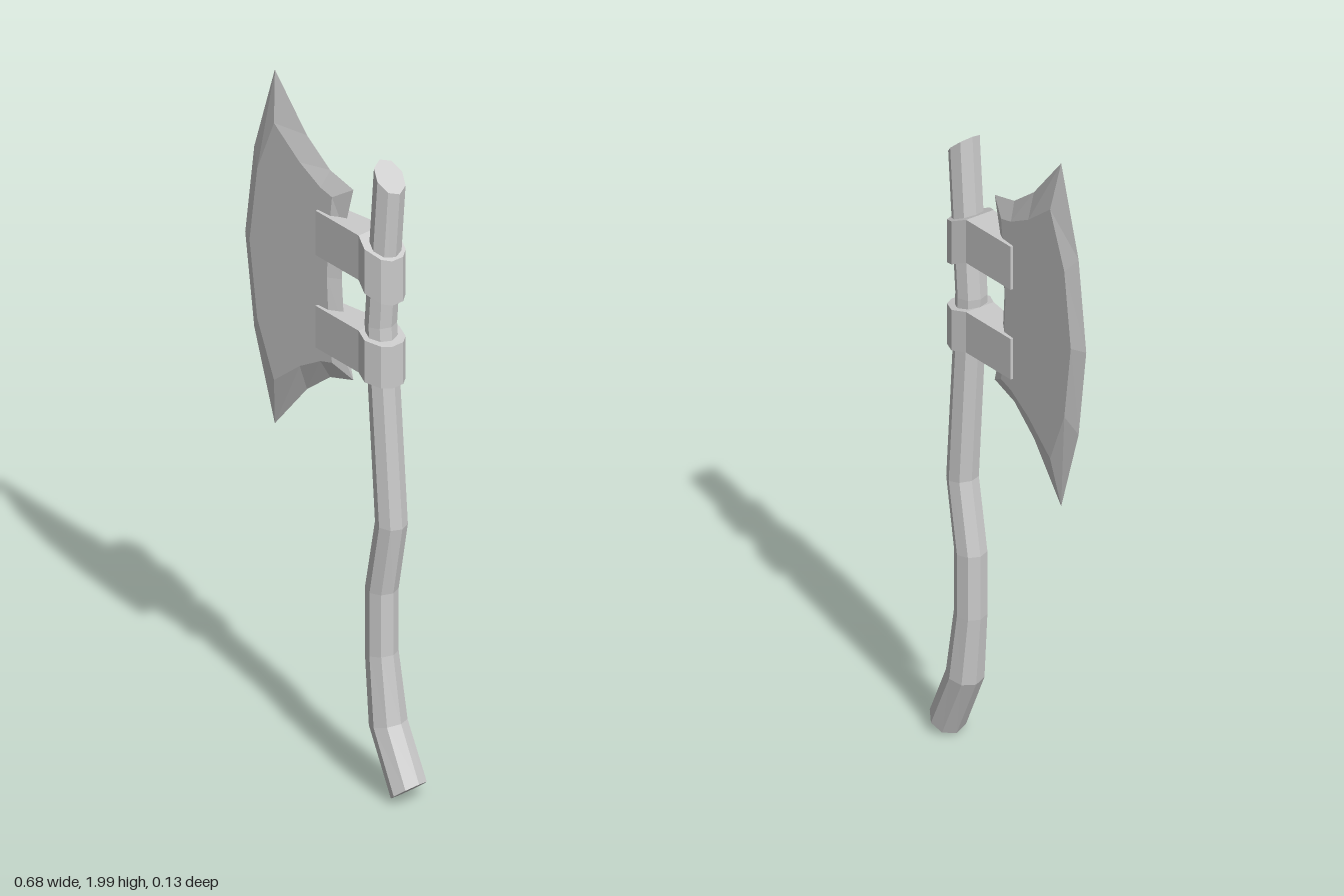
import * as THREE from 'three';

const material = new THREE.MeshStandardMaterial({ color: 0xcccccc, flatShading: true });

// Closed solid through equal-sized rings of [x, y, z]; caps are triangulated in the plane of the two given axes
function loft(name, rings, axes) {
  const n = rings[0].length;
  const tris = [];
  for (let r = 0; r < rings.length - 1; r++) {
    for (let i = 0; i < n; i++) {
      const j = (i + 1) % n;
      const [a, b, c, d] = [rings[r][i], rings[r][j], rings[r + 1][j], rings[r + 1][i]];
      tris.push([a, b, c], [a, c, d]);
    }
  }
  [rings[0], rings[rings.length - 1]].forEach((ring, end) => {
    const flat = ring.map((p) => new THREE.Vector2(p[axes[0]], p[axes[1]]));
    for (const face of THREE.ShapeUtils.triangulateShape(flat, [])) {
      const t = [...face].sort((p, q) => p - q).map((k) => ring[k]);
      tris.push(end ? t : t.reverse());
    }
  });

  // Turn every face outwards
  const vec = (p) => new THREE.Vector3(...p);
  const volume = tris.reduce((s, [a, b, c]) => s + vec(a).dot(vec(b).cross(vec(c))), 0);
  if (volume < 0) tris.forEach((t) => t.reverse());

  const geometry = new THREE.BufferGeometry();
  geometry.setAttribute('position', new THREE.Float32BufferAttribute(tris.flat(2), 3));
  geometry.computeVertexNormals();
  const mesh = new THREE.Mesh(geometry, material);
  mesh.name = name;
  return mesh;
}

// Crooked eight-sided shaft: left x, y, right x, y, half depth per section
function createHandle() {
  const sections = [
    [0.255, 0.007, 0.335, 0.07, 0.055],
    [0.165, 0.2, 0.265, 0.225, 0.053],
    [0.145, 0.41, 0.235, 0.42, 0.045],
    [0.145, 0.605, 0.235, 0.605, 0.045],
    [0.185, 0.82, 0.27, 0.81, 0.045],
    [0.145, 1.4, 0.228, 1.4, 0.045],
    [0.182, 1.885, 0.26, 1.81, 0.045],
  ];
  const rings = sections.map(([x0, y0, x1, y1, depth]) =>
    Array.from({ length: 8 }, (_, i) => {
      const angle = (i * Math.PI) / 4;
      const t = 0.5 + 0.5 * Math.cos(angle);
      return [x0 + (x1 - x0) * t, y0 + (y1 - y0) * t, depth * Math.sin(angle)];
    }));
  return loft('handle', rings, [0, 2]);
}

// Crescent blade: flat cheeks bevelled to a sharp rim all round
function createBlade() {
  const middle = 1.47;
  // Half outlines from the cutting edge over the tip to the back
  const rim = [[-0.34, 0], [-0.305, 0.27], [-0.225, 0.53], [-0.1, 0.38],
    [-0.01, 0.31], [0.08, 0.285], [0.045, 0.15], [0.035, 0]];
  const cheek = [[-0.3, 0], [-0.27, 0.225], [-0.205, 0.385], [-0.105, 0.305],
    [-0.025, 0.26], [0.02, 0.248], [0.007, 0.13], [0, 0]];
  const ring = (half, z) => [
    ...half,
    ...half.slice(1, -1).reverse().map(([x, y]) => [x, -y]),
  ].map(([x, y]) => [x, middle + y, z]);
  return loft('blade', [ring(cheek, 0.022), ring(rim, 0), ring(cheek, -0.022)], [0, 1]);
}

// Binding that grips the blade and wraps the shaft: x, half depth, drop weight
function createBinding(name, bottom, top, drop) {
  const side = [[-0.035, 0.03, 0], [0.148, 0.045, 0], [0.19, 0.063, 0.4],
    [0.235, 0.045, 0.85], [0.252, 0.02, 1]];
  const ring = (y) => [
    ...side.map(([x, z, w]) => [x, y - drop * w, z]),
    ...[...side].reverse().map(([x, z, w]) => [x, y - drop * w, -z]),
  ];
  return loft(name, [ring(bottom), ring(top)], [0, 2]);
}

export function createModel() {
  const axe = new THREE.Group();
  axe.name = 'axe';
  axe.add(
    createHandle(),
    createBlade(),
    createBinding('upperBinding', 1.527, 1.66, 0.047),
    createBinding('lowerBinding', 1.25, 1.375, 0.018),
  );
  return axe;
}
